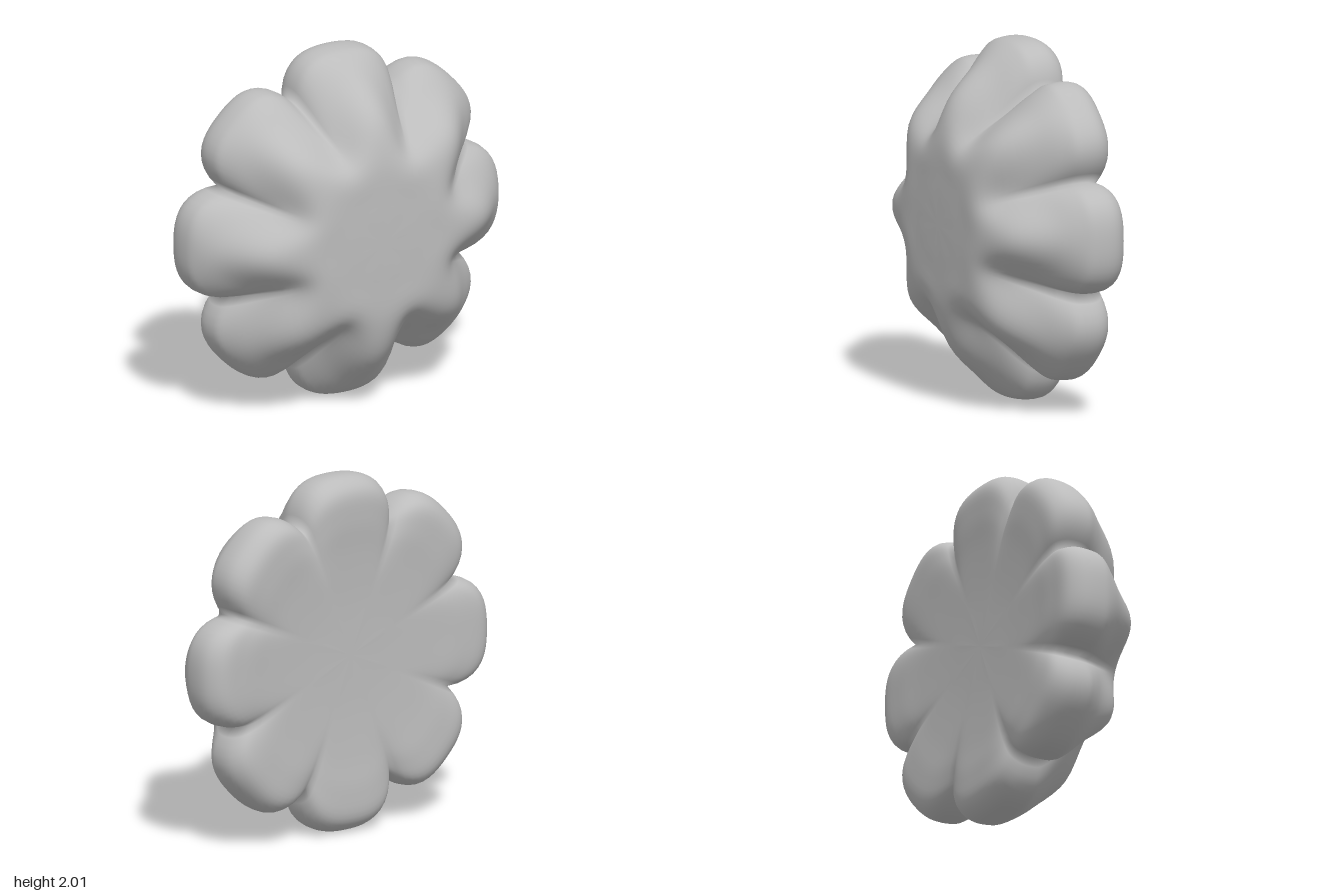
import * as THREE from 'three';

const LOBES = 8;
const STEPS = 20; // angular steps per lobe
const RINGS = 56; // steps from the front centre round to the back centre

// Matching [radius, z] profiles along a lobe's crest and along the groove between lobes
const crest = [[0, 0.335], [0.25, 0.332], [0.48, 0.318], [0.7, 0.24], [0.88, 0.06], [0.97, -0.05],
  [1.0, -0.12], [0.998, -0.25], [0.93, -0.325], [0.78, -0.335], [0.58, -0.318], [0.3, -0.303], [0, -0.3]];
const groove = [[0, 0.335], [0.25, 0.332], [0.45, 0.315], [0.57, 0.2], [0.67, 0.07], [0.76, -0.05],
  [0.8, -0.13], [0.8, -0.21], [0.77, -0.265], [0.69, -0.295], [0.52, -0.308], [0.3, -0.303], [0, -0.3]];

const toCurve = (points) =>
  new THREE.CatmullRomCurve3(points.map(([r, z]) => new THREE.Vector3(r, 0, z)), false, 'centripetal');

// Closed lobed body: rings blend between crest and groove profiles around the axis
function lobedGeometry() {
  const crestCurve = toCurve(crest);
  const grooveCurve = toCurve(groove);
  const around = LOBES * STEPS;
  const positions = [0, 0, crest[0][1]];
  const index = [];
  const at = (i, j) => 1 + (i - 1) * around + (j % around);

  for (let i = 1; i < RINGS; i++) {
    const u = i / RINGS;
    const a = crestCurve.getPoint(u);
    const b = grooveCurve.getPoint(u);
    // Wide rounded valleys near the front centre, full lobes with tight creases at the rim
    const fullness = THREE.MathUtils.smoothstep(u, 0.2, 0.48);
    for (let j = 0; j < around; j++) {
      const s = ((j % STEPS) / STEPS) * 2;
      const t = s > 1 ? 2 - s : s;
      const valley = (1 - Math.cos(Math.PI * t)) / 2;
      const p = a.clone().lerp(b, THREE.MathUtils.lerp(valley, Math.pow(t, 3.5), fullness));
      const angle = (j / around) * Math.PI * 2;
      positions.push(p.x * Math.cos(angle), p.x * Math.sin(angle), p.z);
    }
  }
  const last = positions.length / 3;
  positions.push(0, 0, crest[crest.length - 1][1]);

  for (let j = 0; j < around; j++) {
    index.push(0, at(1, j), at(1, j + 1));
    for (let i = 1; i < RINGS - 1; i++) {
      index.push(at(i, j), at(i + 1, j), at(i + 1, j + 1));
      index.push(at(i, j), at(i + 1, j + 1), at(i, j + 1));
    }
    index.push(at(RINGS - 1, j), last, at(RINGS - 1, j + 1));
  }

  const geometry = new THREE.BufferGeometry();
  geometry.setAttribute('position', new THREE.Float32BufferAttribute(positions, 3));
  geometry.setIndex(index);
  geometry.computeVertexNormals();
  return geometry;
}

export function createModel() {
  const group = new THREE.Group();
  group.name = 'lobedFlower';
  const grey = new THREE.MeshStandardMaterial({ color: 0xbcbcbc });
  grey.name = 'grey';

  const body = new THREE.Mesh(lobedGeometry(), grey);
  body.name = 'lobedBody';
  body.position.y = 1;
  group.add(body);
  return group;
}
